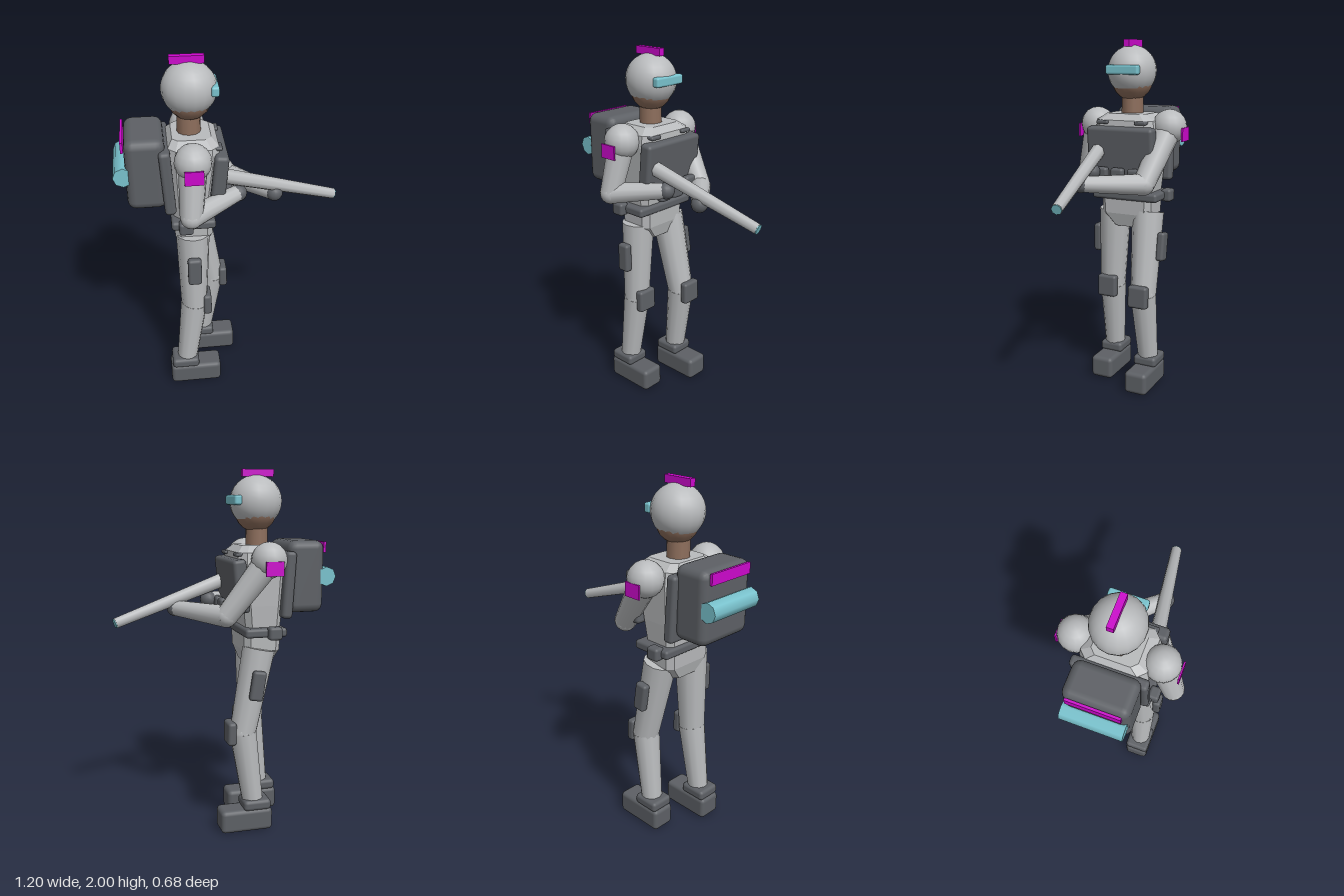
import * as THREE from 'three';
import { RoundedBoxGeometry } from 'three/addons/geometries/RoundedBoxGeometry.js';

const paint = (name, color) => Object.assign(new THREE.MeshStandardMaterial({ color }), { name });

export function createModel() {
  const model = new THREE.Group();
  model.name = 'armouredTrooper';
  const suit = paint('lightGrey', 0xb9bbbd);
  const gear = paint('darkGrey', 0x5d6065);
  const accent = paint('magenta', 0xcc08cc);
  const glow = paint('cyan', 0x79c2cd);
  const skin = paint('skin', 0x8d6e5c);

  const add = (name, geometry, material, pos = [0, 0, 0], rotZ = 0) => {
    const mesh = new THREE.Mesh(geometry, material);
    mesh.name = name;
    mesh.position.set(...pos);
    mesh.rotation.z = rotZ;
    model.add(mesh);
    return mesh;
  };
  const box = (name, size, pos, material = gear, rotZ = 0, radius = 0.016) =>
    add(name, new RoundedBoxGeometry(...size, 2, radius), material, pos, rotZ);
  const plate = (name, size, pos, material = accent) => add(name, new THREE.BoxGeometry(...size), material, pos);
  const ball = (name, r, pos, material = suit, scale = [1, 1, 1]) =>
    add(name, new THREE.SphereGeometry(r, 16, 10).scale(...scale), material, pos);

  // Tapered tube between two points, r0 at the start and r1 at the end
  const limb = (name, from, to, r0, r1, material = suit, sides = 12) => {
    const a = new THREE.Vector3(...from), b = new THREE.Vector3(...to);
    const dir = b.clone().sub(a);
    const mesh = add(name, new THREE.CylinderGeometry(r1, r0, dir.length(), sides), material);
    mesh.position.copy(a).add(b).multiplyScalar(0.5);
    mesh.quaternion.setFromUnitVectors(new THREE.Vector3(0, 1, 0), dir.normalize());
    return mesh;
  };

  // Flat-sided body from stacked chamfered rectangles: [y, centreX, halfX, halfZ]
  const loft = (name, rings, z, material) => {
    const pos = [], index = [], n = 8;
    for (const [y, cx, hx, hz] of rings) {
      const c = Math.min(hx, hz) * 0.3;
      const corners = [[hx, hz - c], [hx - c, hz], [c - hx, hz], [-hx, hz - c], [-hx, c - hz], [c - hx, -hz], [hx - c, -hz], [hx, c - hz]];
      for (const [px, pz] of corners) pos.push(cx + px, y, z + pz);
    }
    const top = (rings.length - 1) * n;
    for (let r = 0; r < top; r += n) {
      for (let i = 0; i < n; i++) {
        const j = (i + 1) % n;
        index.push(r + i, r + n + i, r + j, r + j, r + n + i, r + n + j);
      }
    }
    for (let i = 1; i < n - 1; i++) index.push(0, i, i + 1, top, top + i + 1, top + i);
    const indexed = new THREE.BufferGeometry();
    indexed.setAttribute('position', new THREE.Float32BufferAttribute(pos, 3));
    indexed.setIndex(index);
    const g = indexed.toNonIndexed();
    g.computeVertexNormals();
    return add(name, g, material);
  };

  const cz = -0.018; // body centre line

  // Head
  ball('face', 0.116, [-0.19, 1.783, cz], skin);
  add('helmet', new THREE.SphereGeometry(0.14, 18, 12, 0, Math.PI * 2, 0, Math.PI * 0.73), suit, [-0.19, 1.83, cz]);
  model.getObjectByName('helmet').scale.set(1.02, 1, 0.97);
  limb('neck', [-0.197, 1.56, cz], [-0.197, 1.72, cz], 0.063, 0.06, skin);
  plate('helmetCrest', [0.175, 0.04, 0.034], [-0.198, 1.98, cz]);
  box('visor', [0.042, 0.052, 0.195], [-0.066, 1.838, cz], glow, 0, 0.012);

  // Torso and pelvis
  loft('torso', [
    [1.13, -0.2, 0.095, 0.15], [1.28, -0.195, 0.11, 0.165],
    [1.5, -0.185, 0.135, 0.18], [1.565, -0.185, 0.13, 0.17], [1.6, -0.19, 0.1, 0.12],
  ], cz, suit);
  loft('pelvis', [[0.955, -0.195, 0.08, 0.085], [1.03, -0.195, 0.1, 0.15], [1.13, -0.195, 0.105, 0.155]], cz, suit);

  // Vest plates, shoulder pads and pouches
  box('chestPlate', [0.075, 0.285, 0.4], [-0.058, 1.39, cz], gear, -0.1, 0.02);
  box('backPlate', [0.06, 0.36, 0.4], [-0.325, 1.39, cz], gear, 0.06, 0.02);
  for (const s of [-1, 1]) box('shoulderStrap', [0.055, 0.02, 0.07], [-0.065, 1.556, cz + s * 0.115], gear, -0.1, 0.008);
  for (const z of [-0.12, cz, 0.08]) box('chestPouch', [0.045, 0.1, 0.078], [-0.005, 1.26, z]);
  box('belt', [0.235, 0.05, 0.4], [-0.198, 1.137, cz]);
  for (const s of [-1, 1]) box('beltPouch', [0.075, 0.072, 0.06], [-0.24, 1.137, cz + s * 0.205]);

  // Backpack with bedroll and marker
  box('backpack', [0.205, 0.39, 0.345], [-0.432, 1.43, cz], gear, 0, 0.045);
  plate('backpackMarker', [0.014, 0.058, 0.28], [-0.543, 1.587, cz]);
  limb('bedroll', [-0.547, 1.43, -0.185], [-0.547, 1.43, 0.143], 0.053, 0.053, glow, 8).material = glow;

  // Arms: shoulder, elbow and hand points
  const arms = [
    { side: 'right', shoulder: [-0.195, 1.53, 0.202], elbow: [-0.215, 1.255, 0.275], hand: [0.045, 1.288, 0.115], patchZ: 0.3 },
    { side: 'left', shoulder: [-0.195, 1.53, -0.245], elbow: [0.02, 1.235, -0.188], hand: [0.245, 1.252, 0.075], patchZ: -0.337 },
  ];
  for (const { side, shoulder, elbow, hand, patchZ } of arms) {
    ball(side + 'Shoulder', 0.096, shoulder);
    limb(side + 'UpperArm', shoulder, elbow, 0.075, 0.06);
    ball(side + 'Elbow', 0.06, elbow);
    limb(side + 'Forearm', elbow, hand, 0.06, 0.043);
    ball(side + 'Hand', 0.046, hand, gear);
    plate(side + 'ShoulderPatch', [0.096, 0.075, 0.009], [-0.197, 1.492, patchZ]);
  }

  // Rifle with a lit muzzle
  limb('rifle', [-0.03, 1.393, 0.115], [0.583, 1.188, 0.019], 0.042, 0.03, suit, 8);
  limb('muzzle', [0.582, 1.1883, 0.0192], [0.588, 1.1863, 0.0182], 0.028, 0.028, glow, 8);

  // Legs: hip, knee and ankle points, with boots and pads
  const legs = [
    { side: 'right', s: 1, hip: [-0.2, 1.04, 0.09], knee: [-0.205, 0.57, 0.108], ankle: [-0.26, 0.14, 0.12] },
    { side: 'left', s: -1, hip: [-0.182, 1.04, -0.126], knee: [-0.088, 0.57, -0.144], ankle: [-0.147, 0.14, -0.155] },
  ];
  for (const { side, s, hip, knee, ankle } of legs) {
    const [ax, , az] = ankle, [kx, , kz] = knee;
    limb(side + 'Thigh', hip, knee, 0.092, 0.074);
    ball(side + 'Knee', 0.074, knee);
    limb(side + 'Shin', knee, ankle, 0.076, 0.058);
    box(side + 'KneePad', [0.048, 0.13, 0.118], [kx + 0.073, 0.575, kz], gear, 0.02);
    box(side + 'ThighPouch', [0.075, 0.165, 0.045], [hip[0] + (kx - hip[0]) * 0.4, 0.853, s > 0 ? 0.198 : -0.232], gear, s > 0 ? 0 : 0.15);
    box(side + 'AnkleCuff', [0.158, 0.06, 0.142], [ax - 0.01, 0.153, az], gear, 0, 0.02);
    box(side + 'Boot', [0.298, 0.13, 0.138], [ax + 0.05, 0.066, az], gear, 0, 0.024);
  }
  return model;
}
